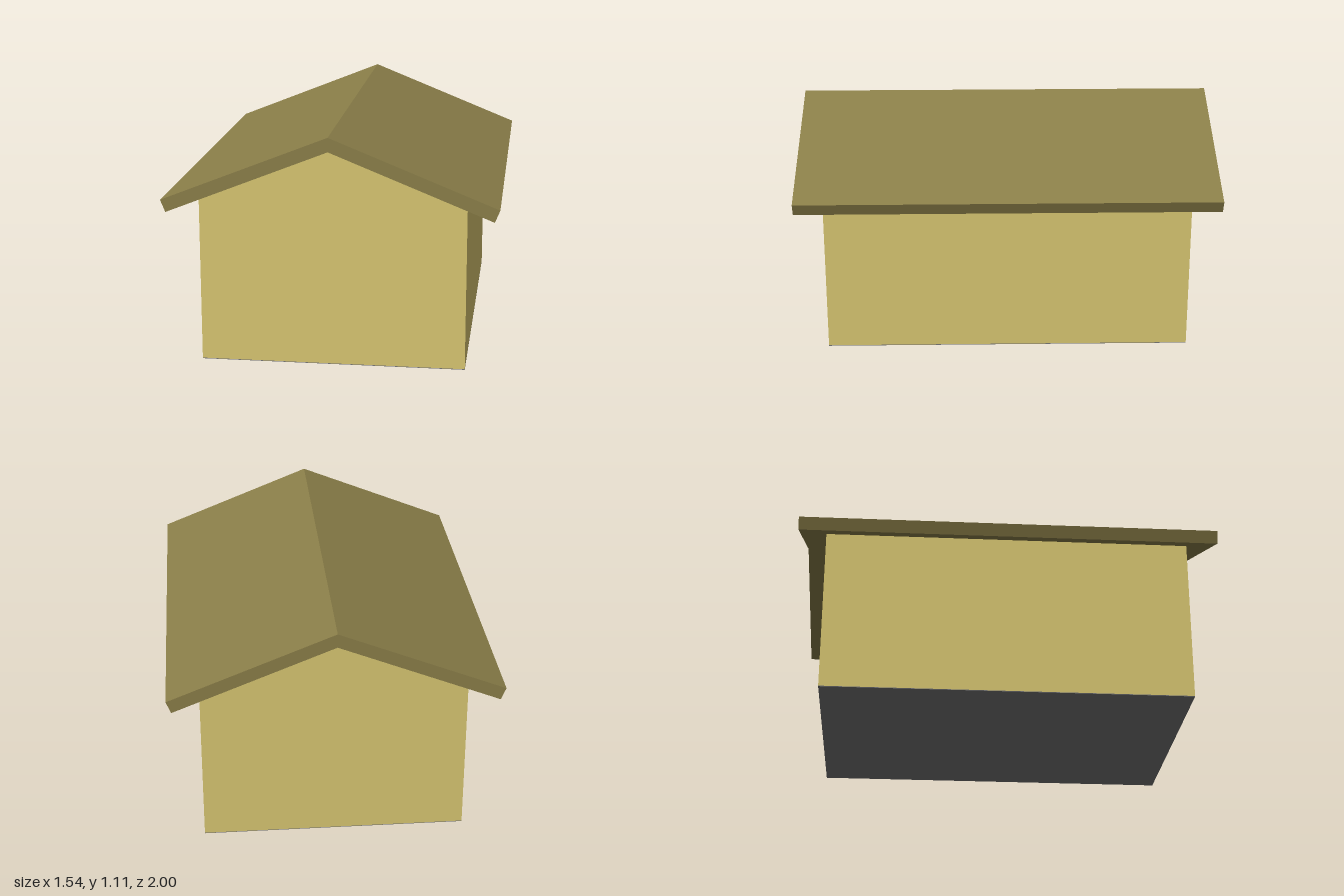
import * as THREE from 'three';

const wallMat = new THREE.MeshStandardMaterial({ color: 0xd9c772 });
const roofMat = new THREE.MeshStandardMaterial({ color: 0x8b7f49 });
const floorMat = new THREE.MeshStandardMaterial({ color: 0x777777 });

const halfW = 0.62, halfL = 0.875, wallT = 0.035, floorT = 0.003;
const ridge = 1.045, slope = 0.4;
const underRoof = (x) => ridge - slope * Math.abs(x);

// Extrudes an x-y outline along z, centred on zMid
function prism(name, points, length, zMid, material) {
  const shape = new THREE.Shape(points.map(([x, y]) => new THREE.Vector2(x, y)));
  const geometry = new THREE.ExtrudeGeometry(shape, { depth: length, bevelEnabled: false });
  geometry.translate(0, 0, zMid - length / 2);
  const mesh = new THREE.Mesh(geometry, material);
  mesh.name = name;
  return mesh;
}

export function createModel() {
  const model = new THREE.Group();
  model.name = 'gabledHut';

  // Gable walls
  const gable = [
    [-halfW, floorT], [halfW, floorT], [halfW, underRoof(halfW)],
    [0, ridge], [-halfW, underRoof(halfW)],
  ];
  for (const [name, s] of [['frontWall', 1], ['backWall', -1]]) {
    model.add(prism(name, gable, wallT, s * (halfL - wallT / 2), wallMat));
  }

  // Side walls, tops cut to the roof slope
  for (const [name, s] of [['leftWall', 1], ['rightWall', -1]]) {
    const outer = s * halfW, inner = s * (halfW - wallT);
    model.add(prism(name, [
      [inner, floorT], [outer, floorT], [outer, underRoof(outer)], [inner, underRoof(inner)],
    ], 2 * (halfL - wallT), 0, wallMat));
  }

  // Thin floor plate
  const floor = new THREE.Mesh(new THREE.BoxGeometry(2 * halfW, floorT, 2 * halfL), floorMat);
  floor.position.y = floorT / 2;
  floor.name = 'floor';
  model.add(floor);

  // Two roof slabs meeting at the ridge, with square-cut eaves
  for (const [name, s] of [['leftRoof', 1], ['rightRoof', -1]]) {
    model.add(prism(name, [
      [0, ridge], [s * 0.747, underRoof(0.747)], [s * 0.77, 0.803], [0, 1.111],
    ], 2, 0, roofMat));
  }
  return model;
}
